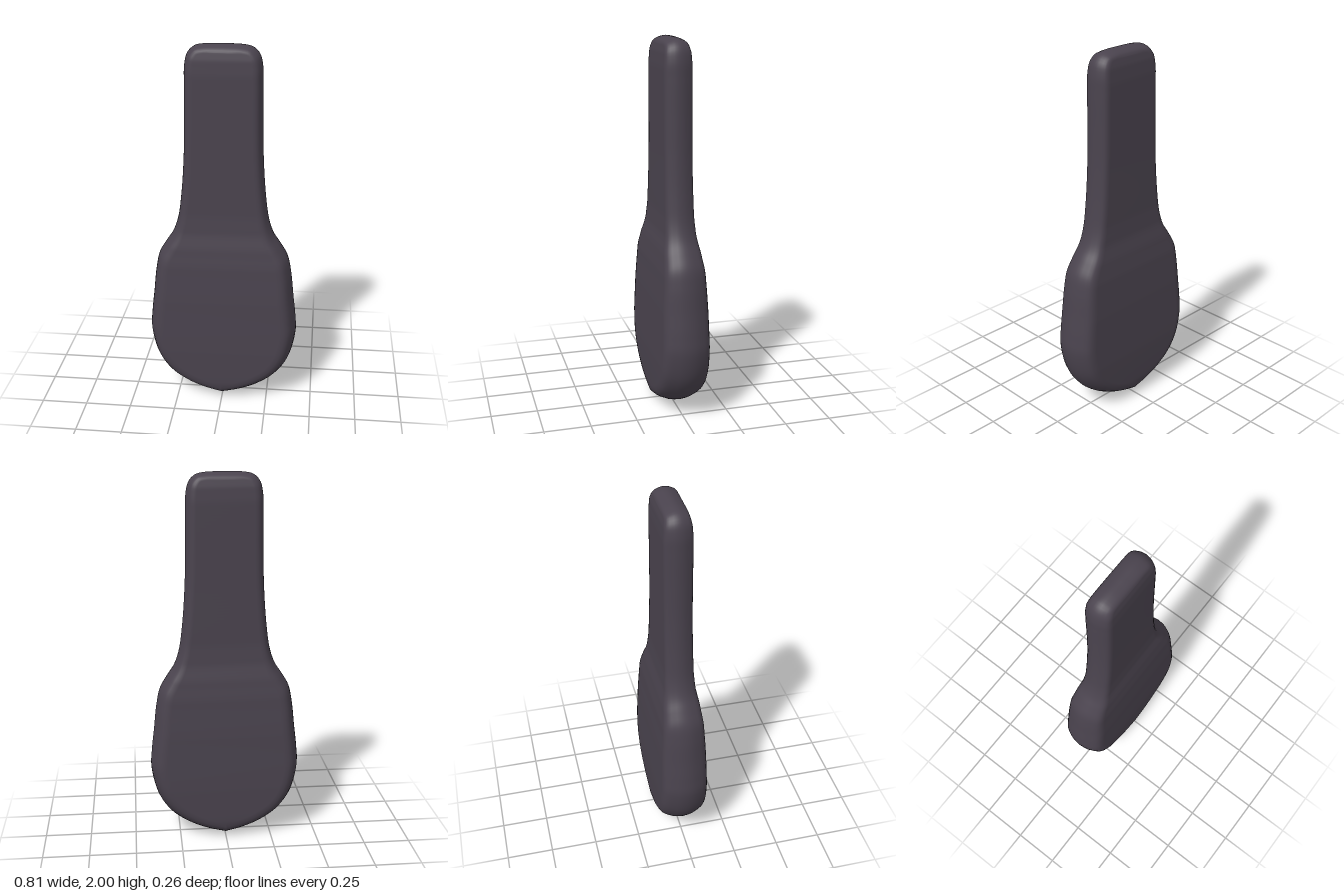
import * as THREE from 'three';
import { mergeVertices } from 'three/addons/utils/BufferGeometryUtils.js';

// Right half of the silhouette, from bottom to top
const OUTLINE = [
  [0, 0], [0.1, 0.026], [0.2, 0.068], [0.3, 0.14], [0.37, 0.245], [0.405, 0.4], [0.4, 0.5],
  [0.386, 0.62], [0.37, 0.76], [0.35, 0.85], [0.31, 0.92], [0.272, 0.98], [0.245, 1.06],
  [0.225, 1.2], [0.21, 1.4], [0.204, 1.6], [0.202, 1.8], [0.199, 1.89], [0.184, 1.95],
  [0.15, 1.985], [0.1, 1.997], [0, 2],
];
// Half thickness by height: [y, z]
const DEPTH = [
  [0, 0.122], [0.1, 0.126], [0.3, 0.129], [0.6, 0.122], [0.8, 0.111], [0.9, 0.1], [1, 0.083],
  [1.1, 0.077], [1.4, 0.074], [1.85, 0.075], [1.92, 0.071], [1.97, 0.062], [2, 0.05],
];
// Rounded rim: [inset, z], both as a share of the half thickness
const RIM = [[0, 0], [0.02, 0.2], [0.06, 0.4], [0.18, 0.68], [0.27, 0.82], [0.37, 0.91], [0.5, 0.97], [0.7, 1]];

function depthAt(y) {
  const k = Math.max(1, DEPTH.findIndex((p) => p[0] >= y));
  const [a, b] = [DEPTH[k - 1], DEPTH[k]];
  const s = THREE.MathUtils.smoothstep(y, a[0], b[0]);
  const l = (y - a[0]) / (b[0] - a[0]);
  return THREE.MathUtils.lerp(a[1], b[1], 0.7 * l + 0.3 * s);
}

// One closed loop around the body, following the outline inwards over the rim
function section(p, normal) {
  const d = depthAt(p.y);
  const quarter = RIM.map(([inset, z]) => {
    const x = Math.max(0, p.x - normal.x * inset * d);
    const y = p.y - normal.y * inset * d;
    return [x, y, z * depthAt(y)];
  });
  const frontLeft = quarter.map(([x, y, z]) => [-x, y, z]).reverse();
  const front = [...quarter, ...frontLeft];
  const back = front.slice(1, -1).reverse().map(([x, y, z]) => [x, y, -z]);
  return [...front, ...back];
}

function bodyGeometry() {
  const curve = new THREE.CatmullRomCurve3(OUTLINE.map(([x, y]) => new THREE.Vector3(x, y, 0)), false, 'centripetal');
  const steps = 150;
  const positions = [];
  const index = [];
  let n = 0;
  for (let i = 0; i <= steps; i++) {
    const t = curve.getTangentAt(i / steps);
    const end = i === 0 ? -1 : i === steps ? 1 : 0;
    const normal = end ? { x: 0, y: end } : { x: t.y, y: -t.x };
    const loop = section(curve.getPointAt(i / steps), normal);
    n = loop.length;
    positions.push(...loop.flat());
  }
  for (let i = 0; i < steps; i++) {
    for (let j = 0; j < n; j++) {
      const a = i * n + j;
      const b = i * n + ((j + 1) % n);
      index.push(a, a + n, b, b, a + n, b + n);
    }
  }
  const geometry = new THREE.BufferGeometry();
  geometry.setAttribute('position', new THREE.Float32BufferAttribute(positions, 3));
  geometry.setIndex(index);
  const merged = mergeVertices(geometry, 1e-5);
  merged.computeVertexNormals();
  return merged;
}

export function createModel() {
  const model = new THREE.Group();
  model.name = 'paddle';
  // Blade and handle are one smooth solid
  const body = new THREE.Mesh(bodyGeometry(), new THREE.MeshStandardMaterial({ color: 0x4a434e }));
  body.name = 'bladeAndHandle';
  model.add(body);
  return model;
}
